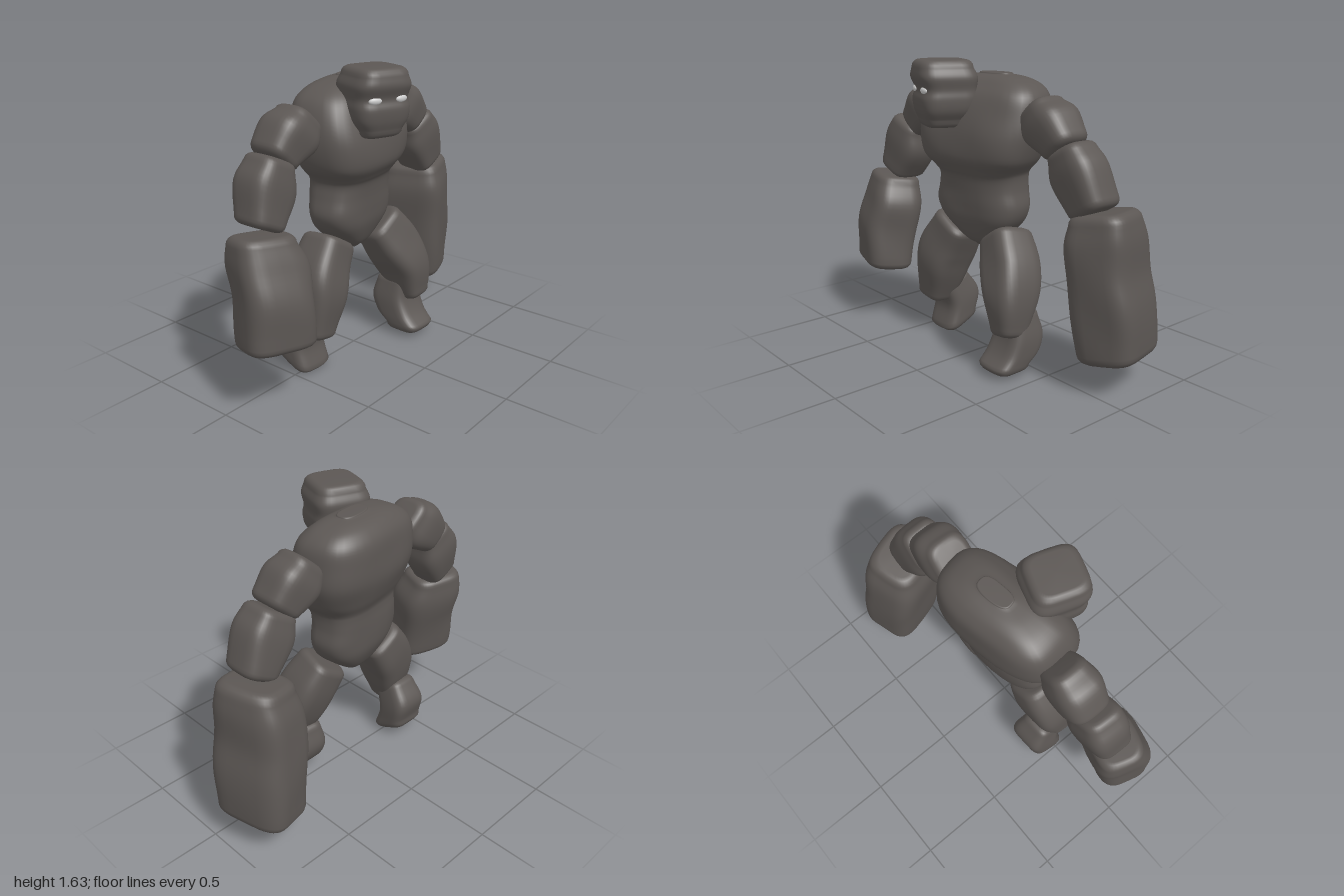
import * as THREE from 'three';

const V = (x, y, z) => new THREE.Vector3(x, y, z);
const stone = new THREE.MeshStandardMaterial({ color: 0x5c5754 });
stone.name = 'dark stone';
const glow = new THREE.MeshStandardMaterial({ color: 0xcccccc });
glow.name = 'pale eye';

const SIDES = 36, STEPS = 5, CAP = 4;

// Boulder lofted through rows [x, y, z, halfWidth, halfDepth] with rounded ends.
// n: squareness of the section, yaw: turn about the axis, r: end rounding,
// axis: fixed section normal (otherwise sections follow the bend of the part).
function boulder(name, rows, { n = 3.5, yaw = 0, r = 0.04, axis = null, lumps = 0.006 } = {}) {
  const path = new THREE.CatmullRomCurve3(rows.map(p => V(p[0], p[1], p[2])), false, 'catmullrom');
  const size = new THREE.CatmullRomCurve3(rows.map(p => V(p[3], p[4], 0)), false, 'catmullrom');
  const dirAt = t => axis ? V(...axis).normalize() : path.getTangent(t);

  // Rings: start cap, body, end cap
  const rings = [];
  const capRing = (t, sign, k) => {
    const a = (k / CAP) * Math.PI / 2, d = dirAt(t), s = size.getPoint(t);
    const inset = r * (1 - Math.cos(a));
    rings.push({ c: path.getPoint(t).addScaledVector(d, sign * r * Math.sin(a)), d, a: s.x - inset, b: s.y - inset });
  };
  for (let k = CAP; k > 0; k--) capRing(0, -1, k);
  const total = (rows.length - 1) * STEPS;
  for (let i = 0; i <= total; i++) {
    const t = i / total, s = size.getPoint(t);
    rings.push({ c: path.getPoint(t), d: dirAt(t), a: s.x, b: s.y });
  }
  for (let k = 1; k <= CAP; k++) capRing(1, 1, k);

  const pos = [], idx = [];
  const power = x => Math.sign(x) * Math.abs(x) ** (2 / n);
  for (const { c, d, a, b } of rings) {
    const v0 = V(0, 0, 1).addScaledVector(d, -d.z).normalize();
    const u0 = v0.clone().cross(d);
    const u = u0.clone().multiplyScalar(Math.cos(yaw)).addScaledVector(v0, -Math.sin(yaw));
    const v = v0.clone().multiplyScalar(Math.cos(yaw)).addScaledVector(u0, Math.sin(yaw));
    for (let j = 0; j < SIDES; j++) {
      const q = (j / SIDES) * Math.PI * 2;
      const p = c.clone().addScaledVector(u, a * power(Math.cos(q))).addScaledVector(v, b * power(Math.sin(q)));
      // Gentle unevenness of the rock
      const w = lumps * Math.sin(13 * p.x + 7 * p.y) * Math.cos(11 * p.z - 9 * p.y);
      p.addScaledVector(p.clone().sub(c).normalize(), w);
      pos.push(p.x, p.y, p.z);
    }
  }
  for (let i = 0; i < rings.length - 1; i++) {
    for (let j = 0; j < SIDES; j++) {
      const k = (j + 1) % SIDES, A = i * SIDES, B = A + SIDES;
      idx.push(A + j, A + k, B + j, A + k, B + k, B + j);
    }
  }
  // End centres
  const last = (rings.length - 1) * SIDES, top = rings.length * SIDES;
  for (const ring of [rings[0], rings[rings.length - 1]]) pos.push(ring.c.x, ring.c.y, ring.c.z);
  for (let j = 0; j < SIDES; j++) {
    const k = (j + 1) % SIDES;
    idx.push(top, k, j, top + 1, last + j, last + k);
  }
  const g = new THREE.BufferGeometry();
  g.setAttribute('position', new THREE.Float32BufferAttribute(pos, 3));
  g.setIndex(idx);
  g.computeVertexNormals();
  const mesh = new THREE.Mesh(g, stone);
  mesh.name = name;
  return mesh;
}

function createHead() {
  const head = new THREE.Group();
  head.name = 'head';
  head.position.set(-0.105, 0, 0.21);
  head.rotation.y = -0.33;
  // Brow, shallow eye line, jaw
  head.add(boulder('skull', [
    [0, 1.60, 0.01, 0.142, 0.147],
    [0, 1.55, 0.003, 0.16, 0.16],
    [0, 1.49, -0.005, 0.153, 0.146],
    [0, 1.44, 0, 0.158, 0.153],
    [0, 1.38, 0.005, 0.15, 0.142],
    [0, 1.33, 0.015, 0.12, 0.115],
  ], { n: 4, axis: [0, -1, 0], lumps: 0 }));
  for (const side of [-1, 1]) {
    const eye = new THREE.Mesh(new THREE.SphereGeometry(1, 16, 10), glow);
    eye.name = side > 0 ? 'leftEye' : 'rightEye';
    eye.scale.set(0.036, 0.018, 0.013);
    eye.position.set(side * 0.077, 1.487, 0.136);
    eye.rotation.y = side * 0.15;
    head.add(eye);
  }
  return head;
}

export function createModel() {
  const model = new THREE.Group();
  model.name = 'stoneGiant';

  // Torso: broad chest, pinched waist, tapering abdomen
  model.add(
    createHead(),
    boulder('torso', [
      [0.02, 1.56, -0.04, 0.10, 0.05],
      [0.005, 1.545, -0.04, 0.20, 0.10],
      [-0.005, 1.515, -0.04, 0.285, 0.145],
      [-0.015, 1.46, -0.03, 0.345, 0.19],
      [-0.025, 1.37, -0.015, 0.37, 0.215],
      [-0.025, 1.25, 0, 0.375, 0.23],
      [-0.03, 1.13, 0.02, 0.34, 0.21],
      [-0.03, 1.06, 0.015, 0.275, 0.175],
      [-0.03, 1.02, 0.005, 0.258, 0.16],
      [-0.035, 0.95, 0, 0.265, 0.155],
      [-0.035, 0.86, 0, 0.28, 0.15],
      [-0.03, 0.78, 0, 0.245, 0.14],
      [-0.025, 0.70, 0, 0.16, 0.11],
      [-0.02, 0.65, 0, 0.095, 0.08],
      [-0.02, 0.625, 0, 0.05, 0.045],
    ], { n: 3, yaw: 0.15, r: 0.008, axis: [0, -1, 0] }),
  );

  // Shoulders, the right one set further out and forward
  for (const [name, s, x, z] of [['leftShoulder', 1, 0, -0.04], ['rightShoulder', -1, 0.06, 0]]) {
    model.add(boulder(name, [
      [s * (0.375 + x), 1.385, z, 0.115, 0.11],
      [s * (0.44 + x), 1.33, z, 0.143, 0.128],
      [s * (0.535 + x), 1.25, z, 0.113, 0.115],
    ], { n: 3.2, axis: [s * 0.68, -0.73, 0] }));
  }

  // Arms
  model.add(
    boulder('leftUpperArm', [
      [0.59, 1.20, -0.045, 0.12, 0.11],
      [0.635, 1.11, -0.05, 0.146, 0.122],
      [0.718, 0.965, -0.063, 0.115, 0.115],
    ], { axis: [0.5, -0.86, 0] }),
    boulder('rightUpperArm', [
      [-0.66, 1.21, 0.02, 0.115, 0.11],
      [-0.695, 1.11, 0.02, 0.146, 0.122],
      [-0.755, 0.965, 0.04, 0.117, 0.11],
    ], { axis: [-0.42, -0.9, 0] }),
    boulder('leftForearm', [
      [0.755, 0.885, -0.12, 0.155, 0.175],
      [0.755, 0.78, -0.13, 0.172, 0.205],
      [0.765, 0.62, -0.145, 0.172, 0.217],
      [0.79, 0.45, -0.16, 0.18, 0.22],
      [0.81, 0.22, -0.175, 0.168, 0.212],
    ], { n: 3.8, yaw: 0.3, r: 0.05, axis: [0.16, -1, 0] }),
    boulder('rightForearm', [
      [-0.79, 0.87, 0.08, 0.158, 0.13],
      [-0.78, 0.76, 0.105, 0.188, 0.153],
      [-0.79, 0.60, 0.145, 0.18, 0.16],
      [-0.80, 0.395, 0.165, 0.185, 0.145],
    ], { n: 3.5, yaw: -0.3, axis: [-0.1, -1, 0.1] }),
  );

  // Legs: the left strides forward, the right trails with its heel raised
  model.add(
    boulder('leftThigh', [
      [0.185, 0.685, 0.03, 0.128, 0.12],
      [0.265, 0.56, 0.07, 0.14, 0.137],
      [0.325, 0.42, 0.115, 0.122, 0.135],
      [0.345, 0.26, 0.15, 0.085, 0.09],
    ]),
    boulder('rightThigh', [
      [-0.24, 0.685, 0.02, 0.126, 0.12],
      [-0.32, 0.55, 0.03, 0.146, 0.137],
      [-0.36, 0.42, 0.05, 0.13, 0.13],
      [-0.395, 0.255, 0.065, 0.095, 0.09],
    ]),
    boulder('leftFoot', [
      [0.325, 0.32, 0.07, 0.095, 0.095],
      [0.325, 0.22, 0.065, 0.115, 0.112],
      [0.325, 0.13, 0.10, 0.118, 0.117],
      [0.325, 0.07, 0.16, 0.115, 0.11],
    ], { n: 4, axis: [0, -1, 0] }),
    boulder('rightFoot', [
      [-0.38, 0.31, -0.02, 0.095, 0.095],
      [-0.38, 0.20, -0.07, 0.115, 0.112],
      [-0.38, 0.08, -0.045, 0.118, 0.118],
    ], { n: 4, axis: [0, -1, -0.45] }),
  );
  return model;
}
